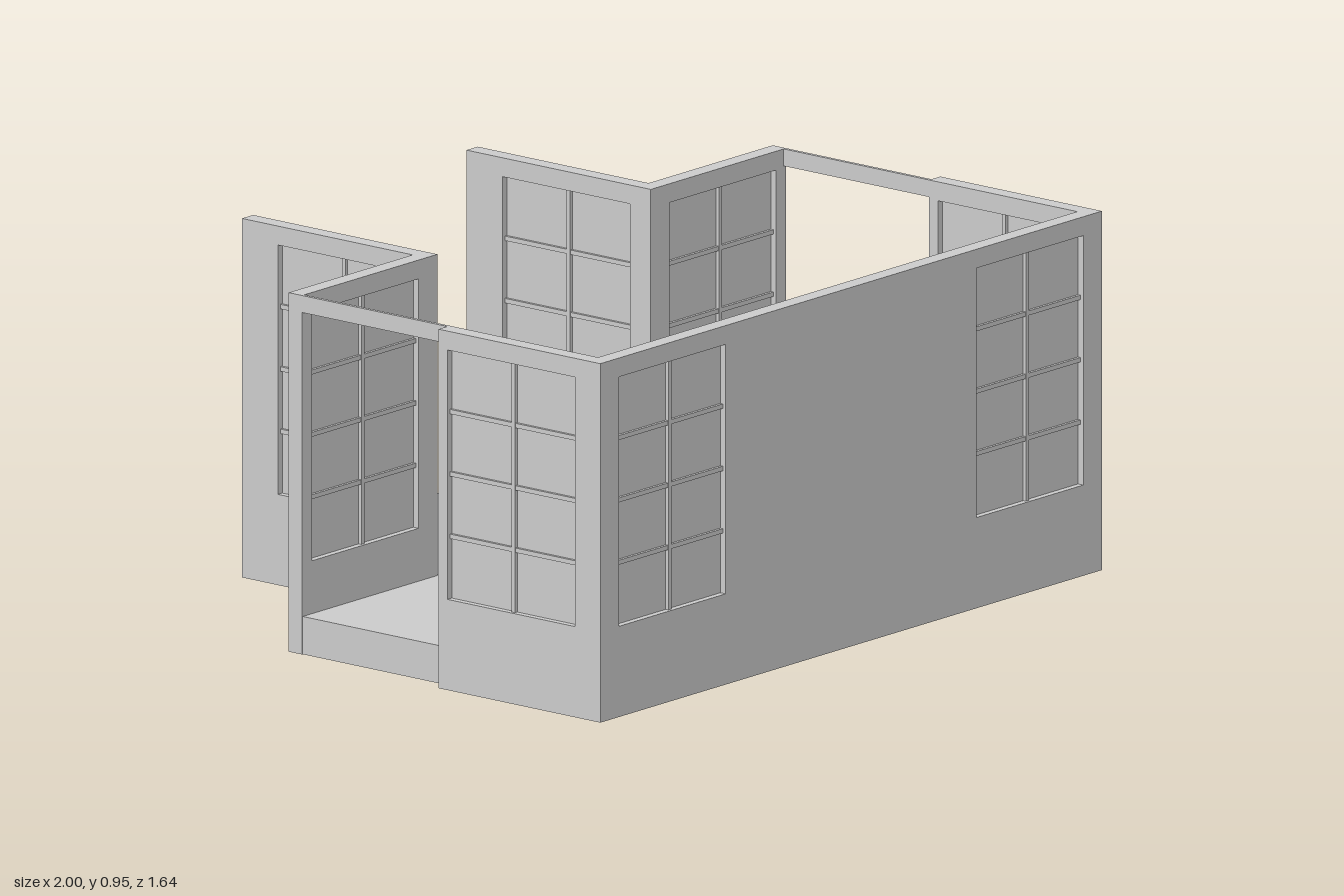
import * as THREE from 'three';

const H = 0.95, T = 0.045;          // wall height and thickness
const WIN_W = 0.425, Y0 = 0.24, Y1 = 0.9;
const mat = new THREE.MeshStandardMaterial({ color: 0xcccccc, flatShading: true });

function mesh(name, geo, parent) {
  const m = new THREE.Mesh(geo, mat);
  m.name = name;
  parent.add(m);
  return m;
}

function box(name, x0, x1, y0, y1, z0, z1, parent) {
  const m = mesh(name, new THREE.BoxGeometry(x1 - x0, y1 - y0, z1 - z0), parent);
  m.position.set((x0 + x1) / 2, (y0 + y1) / 2, (z0 + z1) / 2);
  return m;
}

const outline = (pts, Kind = THREE.Shape) => new Kind(pts.map(p => new THREE.Vector2(...p)));
const rect = (a, b, c, d) => [[a, c], [b, c], [b, d], [a, d]];

// Wall running from u0 to u1, thickness along local z, with windows starting at the given u
function wall(name, u0, u1, windows) {
  const g = new THREE.Group();
  g.name = name;
  const shape = outline(rect(u0, u1, 0, H));
  for (const w of windows) shape.holes.push(outline(rect(w, w + WIN_W, Y0, Y1).reverse(), THREE.Path));
  mesh('wallPanel', new THREE.ExtrudeGeometry(shape, { depth: T, bevelEnabled: false }), g);
  for (const w of windows) {
    // glazing set back in the opening
    box('windowPane', w, w + WIN_W, Y0, Y1, T / 2 - 0.005, T / 2 + 0.005, g);
    // glazing bars: one upright and three crossbars
    const bar = 0.006, d0 = T / 2 - 0.014, d1 = T / 2 + 0.014, mid = w + WIN_W / 2;
    box('uprightBar', mid - bar, mid + bar, Y0, Y1, d0, d1, g);
    for (let i = 1; i < 4; i++) {
      const y = Y0 + (Y1 - Y0) * i / 4;
      box('crossBar', w, w + WIN_W, y - bar, y + bar, d0 + 0.001, d1 - 0.001, g);
    }
  }
  return g;
}

// Wall running along z, with its outer face at |x| = outer on the given side
function sideWall(name, side, outer, z0, z1, windows) {
  const g = wall(name, z0, z1, windows);
  g.rotation.y = -Math.PI / 2;
  g.position.x = side > 0 ? outer : -outer + T;
  return g;
}

// T-shaped floor outline, shrunk by inset; second coordinate is -z
function floorPoints(i) {
  const x = 0.962 - i, p = 0.428 - i, back = 0.735 - i, step = 0.215 - i, front = -0.772 + i;
  return [[-x, front], [x, front], [x, step], [p, step], [p, back], [-p, back], [-p, step], [-x, step]];
}

export function createModel() {
  const model = new THREE.Group();
  model.name = 'roomWithPorch';

  // Floor plate on a thin skirt, hollow underneath
  const plate = mesh('floor', new THREE.ExtrudeGeometry(outline(floorPoints(0)), { depth: 0.01, bevelEnabled: false }), model);
  plate.rotation.x = -Math.PI / 2;
  plate.position.y = 0.09;
  const ring = outline(floorPoints(0));
  ring.holes.push(outline(floorPoints(0.008).reverse(), THREE.Path));
  const skirt = mesh('floorSkirt', new THREE.ExtrudeGeometry(ring, { depth: 0.09, bevelEnabled: false }), model);
  skirt.rotation.x = -Math.PI / 2;

  // Front wall with a window near each end
  const front = wall('frontWall', -1, 1, [-0.925, 0.5]);
  front.position.z = 0.82 - T;
  model.add(front);

  for (const s of [1, -1]) {
    const tag = s > 0 ? 'left' : 'right';
    // Side wall in front of the doorway
    model.add(sideWall(tag + 'SideWall', s, 1, 0.28, 0.82 - T, [0.31]));

    // Back wall wing beside the porch
    const wing = s > 0 ? wall('leftBackWall', 0.47, 0.965, [0.5]) : wall('rightBackWall', -0.965, -0.47, [-0.925]);
    wing.position.z = -0.25;
    model.add(wing);

    // Porch wall running back
    model.add(sideWall(tag + 'PorchWall', s, 0.47, -0.82, -0.25 + T, [-0.7]));

    // Slim lintel over the side doorway
    const a = s * 0.955, b = s * 0.965;
    box(tag + 'Lintel', Math.min(a, b), Math.max(a, b), 0.905, H, -0.25 + T, 0.28, model);
  }
  return model;
}
